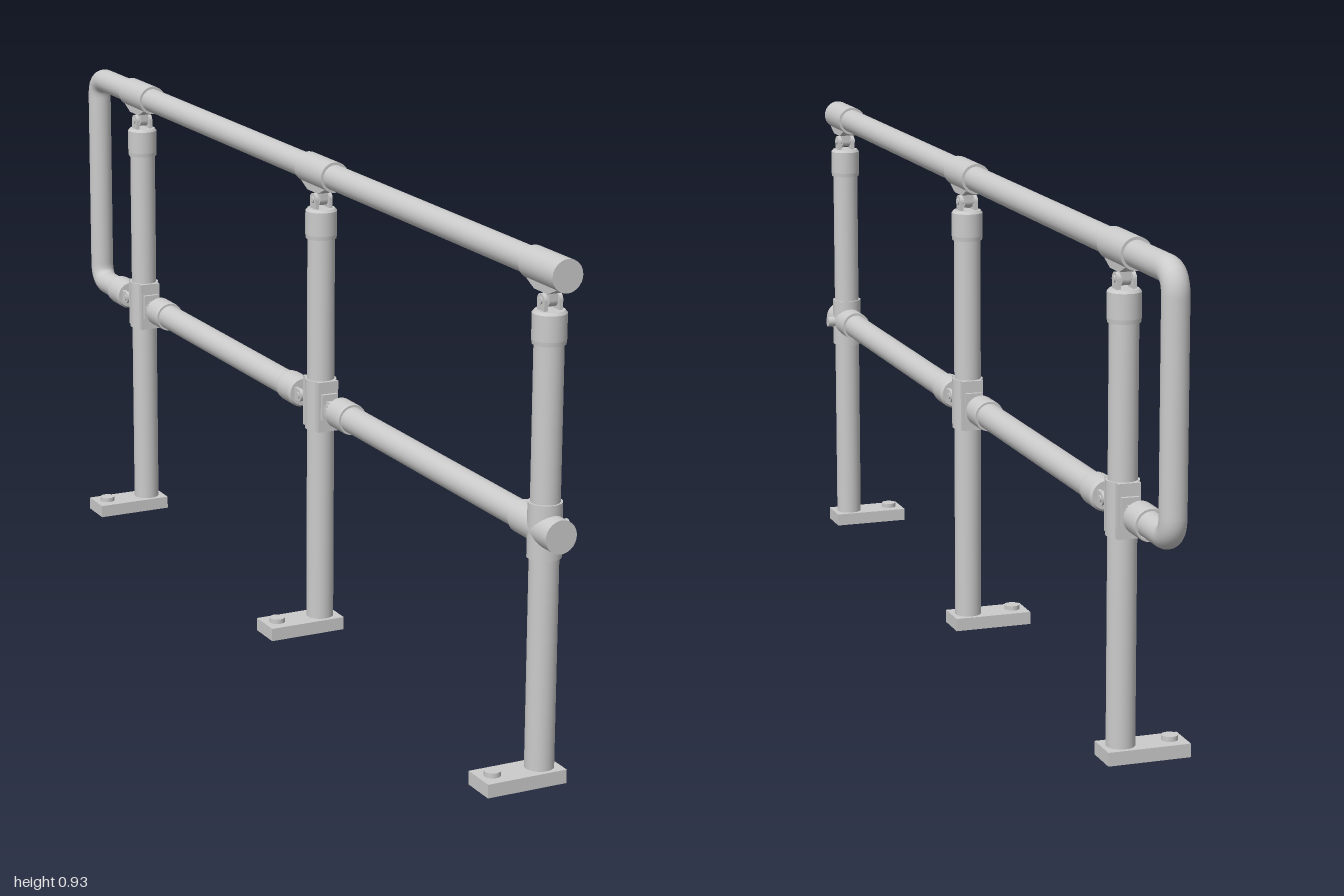
import * as THREE from 'three';

const X = 0.037, TOP = 0.903, MID = 0.455, R = 0.025, RS = 0.03;
const POSTS = [0.945, 0.1, -0.745];
const mat = new THREE.MeshStandardMaterial({ color: 0xcccccc, side: THREE.DoubleSide });

function add(parent, name, geo, x = 0, y = 0, z = 0) {
  const m = new THREE.Mesh(geo, mat);
  m.name = name;
  m.position.set(x, y, z);
  parent.add(m);
  return m;
}

// Cylinder between two values along one axis
function rod(parent, name, axis, r, from, to, x, y, z, seg = 28) {
  const geo = new THREE.CylinderGeometry(r, r, Math.abs(to - from), seg);
  if (axis === 'x') geo.rotateZ(Math.PI / 2);
  if (axis === 'z') geo.rotateX(Math.PI / 2);
  const m = add(parent, name, geo, x, y, z);
  m.position[axis] = (from + to) / 2;
  return m;
}

// Extrude a (z, y) outline along x, centred on x = 0
function slabX(shape, width) {
  const g = new THREE.ExtrudeGeometry(shape, { depth: width, bevelEnabled: false, curveSegments: 10 });
  return g.translate(0, 0, -width / 2).rotateY(-Math.PI / 2);
}

// Rounded lug outline: straight foot at y = a, round end around y = c
function lugShape(a, c, r, dir) {
  const s = new THREE.Shape();
  s.moveTo(-r, a);
  s.lineTo(-r, c);
  s.absarc(0, c, r, Math.PI, 0, dir > 0);
  s.lineTo(r, a);
  s.closePath();
  return s;
}

// Pipe collar with a forked hinge; y = 0 is the collar's end, +y points to the joint
function swivel(parent, name, x, y, z, tilt) {
  const g = new THREE.Group();
  g.name = name;
  g.position.set(x, y, z);
  g.rotation.x = tilt;
  const prof = [[R, -0.058], [0.029, -0.058], [RS, -0.05], [RS, -0.005], [0.026, 0], [0, 0]];
  const pts = [];
  prof.forEach(([r, h], i) => {
    pts.push(new THREE.Vector2(r, h));
    // doubled points keep the rims crisp
    if (i > 0 && i < 5) pts.push(new THREE.Vector2(r, h));
  });
  add(g, 'collar', new THREE.LatheGeometry(pts, 28));
  for (const s of [-1, 1]) {
    add(g, 'forkLug', slabX(lugShape(-0.002, 0.017, 0.012, 1), 0.007), s * 0.0145);
  }
  add(g, 'tongue', slabX(lugShape(0.046, 0.017, 0.012, -1), 0.016));
  rod(g, 'hingePin', 'x', 0.0065, -0.0205, 0.0205, 0, 0.017, 0, 14);
  parent.add(g);
}

// Hollow foot plate with a round bolt
function foot(parent, z) {
  const g = new THREE.Group();
  g.name = 'foot';
  g.position.set(0, 0, z);
  const rect = (C, x0, x1, h) => {
    const s = new C();
    s.moveTo(x0, -h);
    s.lineTo(x1, -h);
    s.lineTo(x1, h);
    s.lineTo(x0, h);
    s.closePath();
    return s;
  };
  const rim = rect(THREE.Shape, -0.082, 0.072, 0.034);
  rim.holes.push(rect(THREE.Path, -0.074, 0.064, 0.026));
  const geo = new THREE.ExtrudeGeometry(rim, { depth: 0.018, bevelEnabled: false });
  add(g, 'rim', geo.rotateX(-Math.PI / 2));
  add(g, 'plate', new THREE.BoxGeometry(0.154, 0.008, 0.068), -0.005, 0.021, 0);
  rod(g, 'bolt', 'y', 0.015, 0.012, 0.034, -0.055, 0, 0, 20);
  parent.add(g);
}

// Sleeve around the top rail with a tapered saddle below
function topSleeve(parent, z, from, to) {
  rod(parent, 'railSleeve', 'z', 0.029, from, to, X, TOP, 0);
  const s = new THREE.Shape();
  s.moveTo(-0.048, 0.018);
  s.lineTo(-0.048, 0.012);
  s.lineTo(-0.022, 0);
  s.lineTo(0.022, 0);
  s.lineTo(0.048, 0.012);
  s.lineTo(0.048, 0.018);
  s.closePath();
  add(parent, 'saddle', slabX(s, 0.036), X, 0.867, z);
}

export function createModel() {
  const root = new THREE.Group();
  root.name = 'handrail';

  // Posts, feet and top joints
  for (const z of POSTS) {
    foot(root, z);
    rod(root, 'post', 'y', 0.026, 0.018, 0.8, X, 0, z);
    swivel(root, 'topJoint', X, 0.835, z, 0);
    const end = z > 0.9;
    topSleeve(root, z, end ? 0.888 : z - 0.056, end ? 1.0 : z + 0.056);
    rod(root, 'postSleeve', 'y', RS, 0.405, 0.503, X, 0, z);
  }

  // Top rail returning down to the middle rail in one bent tube
  const path = new THREE.CurvePath();
  const v = (y, z) => new THREE.Vector3(X, y, z);
  const e = -0.976, b = 0.04;
  path.add(new THREE.LineCurve3(v(TOP, 0.99), v(TOP, e + b)));
  path.add(new THREE.QuadraticBezierCurve3(v(TOP, e + b), v(TOP, e), v(TOP - b, e)));
  path.add(new THREE.LineCurve3(v(TOP - b, e), v(MID + b, e)));
  path.add(new THREE.QuadraticBezierCurve3(v(MID + b, e), v(MID, e), v(MID, e + b)));
  path.add(new THREE.LineCurve3(v(MID, e + b), v(MID, -0.83)));
  add(root, 'topRail', new THREE.TubeGeometry(path, 300, 0.024, 24, false));

  // Middle rails
  rod(root, 'middleRail', 'z', R, 0.9, 0.2, X, MID, 0);
  rod(root, 'middleRail', 'z', R, 0.01, -0.65, X, MID, 0);

  // Cross fitting on the front post, with its locking pin
  rod(root, 'crossSleeve', 'z', RS, 0.872, 1.0, X, MID, 0);
  rod(root, 'lockingPin', 'x', 0.011, 0.05, 0.081, 0, MID, POSTS[0], 16);

  // Hinged joints and clamp plates on the other posts
  for (const z of POSTS.slice(1)) {
    for (const s of [-1, 1]) {
      swivel(root, 'middleJoint', X, MID, z + s * 0.077, -s * Math.PI / 2);
      add(root, 'clampPlate', new THREE.BoxGeometry(0.042, 0.098, 0.012), X, 0.454, z + s * 0.027);
      add(root, 'clampPad', new THREE.BoxGeometry(0.032, 0.05, 0.008), X, MID, z + s * 0.036);
    }
  }
  return root;
}
